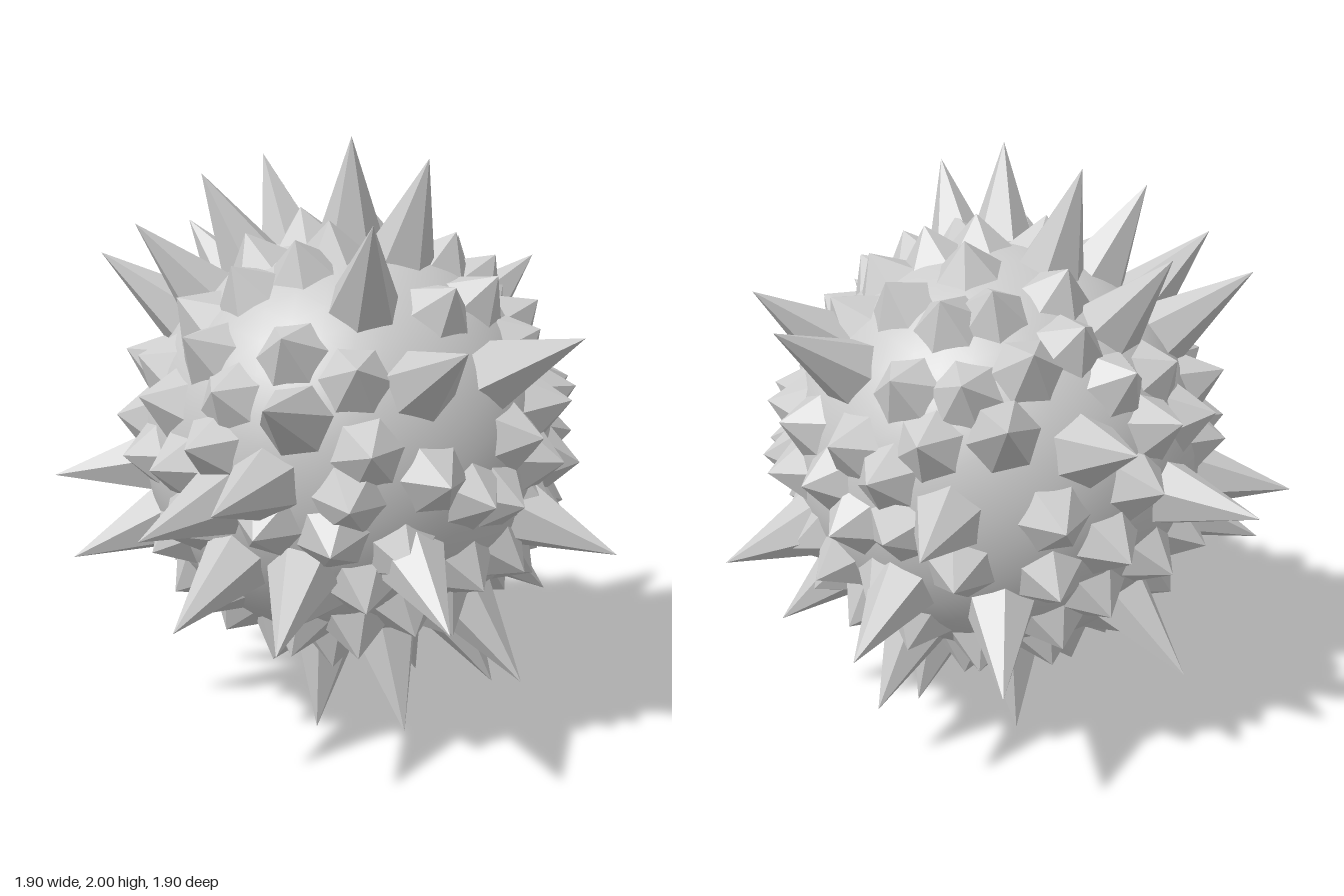
import * as THREE from 'three';
import { mergeGeometries, mergeVertices } from 'three/addons/utils/BufferGeometryUtils.js';

const RADIUS = 0.7, BASE = 0.112, SHORT = 0.8;
const UP = new THREE.Vector3(0, 1, 0);

// Tips of the long spikes, relative to the ball's centre
const LONG_TIPS = [
  [-0.08, 1, 0.21], [-0.2, 0.96, -0.27], [0.1, 0.93, 0.39], [-0.46, 0.89, -0.15],
  [-0.38, 0.73, -0.58], [-0.69, 0.73, -0.14], [-0.22, 0.74, 0.67], [-0.76, 0.63, -0.34],
  [0.8, 0.6, -0.1], [0.76, 0.53, -0.36], [-0.07, 0.41, 0.95], [-0.11, -0.38, 0.95],
  [0.36, 0.42, 0.87], [-0.6, 0.27, 0.8], [-0.95, -0.13, -0.36], [-0.93, -0.38, -0.19],
  [-0.88, -0.13, 0.53], [-0.73, -0.02, 0.74], [0.95, -0.28, -0.15], [0.77, -0.64, 0.1],
  [-0.18, -1, 0.14], [0.31, -0.95, -0.06], [0.01, -0.95, -0.32], [0.41, -0.86, 0.33],
  [-0.02, -0.89, 0.5], [0.35, -0.74, 0.61], [0.57, -0.28, 0.79], [-0.15, 0.28, -0.95],
  [0.2, 0.36, -0.9], [0.44, 0, -0.88], [0.2, -0.48, -0.86], [-0.61, -0.02, -0.8],
  [0.61, -0.4, -0.68], [0.5, -0.77, -0.37], [-0.45, -0.6, -0.68], [-0.78, -0.43, 0.5],
  [-0.55, -0.45, 0.74],
].map((p) => new THREE.Vector3(...p));

// Tips of the short spikes on the front, as x, y
const FRONT_TIPS = [
  [-0.27, 0.34], [-0.44, 0.42], [0.1, 0.55], [-0.03, 0], [-0.32, -0.06],
  [-0.26, 0.1], [0.13, -0.08], [0.45, 0], [-0.12, -0.27], [0.15, -0.37], [0.33, -0.35],
  [-0.55, -0.16], [-0.36, -0.2], [0.46, -0.2], [0.25, -0.1], [-0.23, -0.4],
  [-0.39, -0.45], [-0.04, -0.52], [0.12, -0.56], [0.33, 0.1],
];
// Tips of the short spikes on the left side, as z, y
const SIDE_TIPS = [
  [0.35, 0.48], [-0.02, 0.5], [0.45, 0.2], [0.26, 0.2], [0.02, 0.21], [-0.19, 0.2],
  [-0.45, 0.2], [-0.58, 0.12], [0.25, 0], [0.08, 0], [-0.1, 0], [-0.37, 0.05],
  [-0.47, -0.08], [0.5, -0.05], [0.29, -0.24], [0.02, -0.25], [-0.18, -0.24],
  [0.25, -0.42], [-0.13, -0.42], [-0.31, -0.3], [-0.5, -0.32], [0.46, -0.25],
];
// Tips of the short spikes on the top, as x, z
const TOP_TIPS = [
  [-0.17, 0], [-0.38, 0.05], [0.07, -0.01], [0.24, 0], [0.42, 0.01],
  [0.16, -0.23], [0.28, -0.43], [-0.12, -0.4], [0.13, -0.46], [0.41, -0.25],
  [-0.17, 0.24], [-0.3, 0.28], [0.26, 0.28], [0.41, 0.28], [0.08, 0.25], [0.56, -0.08],
  [-0.48, 0.2],
];

// Small seeded random generator
function seeded(seed) {
  return () => (seed = (seed * 16807) % 2147483647) / 2147483647;
}

// Hexagonal spike from the ball's surface to the given tip
function spike(tip, turn) {
  const dir = tip.clone().normalize();
  const foot = RADIUS - 0.012, height = tip.length() - foot;
  const cone = new THREE.ConeGeometry(BASE, height, 6, 1, true);
  cone.rotateY(turn);
  cone.translate(0, foot + height / 2, 0);
  return cone.applyQuaternion(new THREE.Quaternion().setFromUnitVectors(UP, dir));
}

// Evenly spread directions: the corners of a subdivided icosahedron
function evenDirections() {
  const geo = new THREE.IcosahedronGeometry(1, 7);
  geo.deleteAttribute('normal');
  geo.deleteAttribute('uv');
  const pos = mergeVertices(geo, 1e-3).getAttribute('position');
  return Array.from({ length: pos.count }, (_, i) =>
    new THREE.Vector3().fromBufferAttribute(pos, i).normalize());
}

// Short tips: placed on front, left and top, filling the gaps elsewhere
function shortTips(random) {
  const depth = (a, b) => Math.sqrt(SHORT * SHORT - a * a - b * b);
  const tips = [
    ...FRONT_TIPS.map(([x, y]) => new THREE.Vector3(x, y, depth(x, y))),
    ...SIDE_TIPS.map(([z, y]) => new THREE.Vector3(depth(z, y), y, z)),
    ...TOP_TIPS.map(([x, z]) => new THREE.Vector3(x, depth(x, z), z)),
  ];
  for (const d of evenDirections()) {
    const free = [...LONG_TIPS, ...tips].every((t) => d.angleTo(t) > 0.23);
    if (free && Math.max(d.x, d.y, d.z) < 0.78) {
      tips.push(d.multiplyScalar(SHORT - 0.02 + 0.04 * random()));
    }
  }
  return tips;
}

export function createModel() {
  const model = new THREE.Group();
  model.name = 'spikyBall';
  const random = seeded(4127);
  const add = (name, geometry, flatShading) => {
    const material = new THREE.MeshStandardMaterial({ color: 0xcccccc, flatShading });
    const mesh = new THREE.Mesh(geometry, material);
    mesh.name = name;
    mesh.position.y = 1;
    model.add(mesh);
  };
  const spikes = (tips) => mergeGeometries(tips.map((tip) => spike(tip, random() * Math.PI)));

  add('ball', new THREE.IcosahedronGeometry(RADIUS, 7), false);
  add('longSpikes', spikes(LONG_TIPS), true);
  add('shortSpikes', spikes(shortTips(random)), true);
  return model;
}
